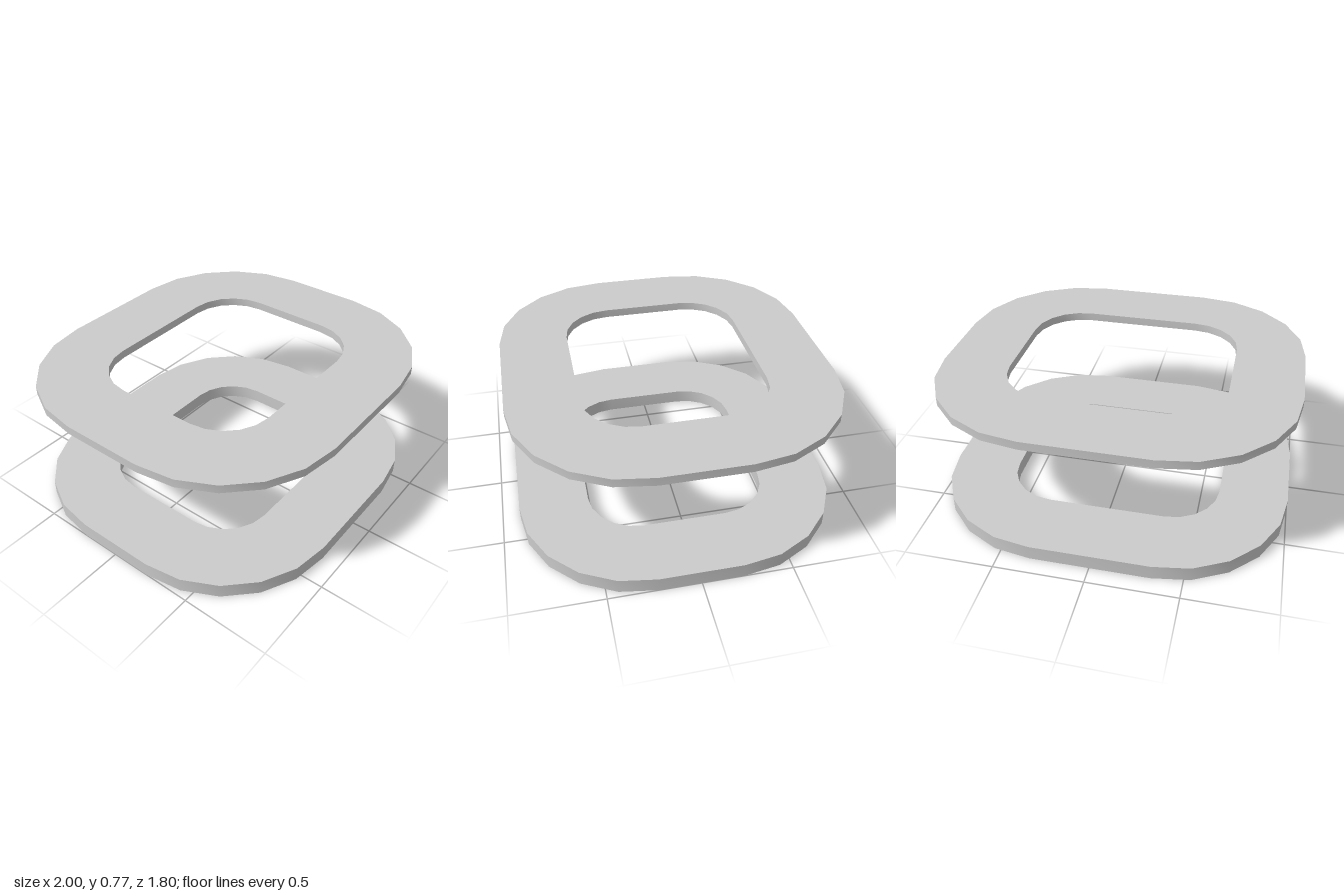
import * as THREE from 'three';
import { toCreasedNormals } from 'three/addons/utils/BufferGeometryUtils.js';

const CORNER_X = 0.33, CORNER_Z = 0.23, STEPS = 5;

// Rounded rectangle: four corner arcs of the given radius about shared centres
function outline(radius) {
  const points = [];
  for (let q = 0; q < 4; q++) {
    const sx = q === 0 || q === 3 ? 1 : -1;
    const sz = q < 2 ? 1 : -1;
    for (let i = 0; i <= STEPS; i++) {
      const a = (q + i / STEPS) * Math.PI / 2;
      points.push(new THREE.Vector2(
        sx * CORNER_X + radius * Math.cos(a),
        sz * CORNER_Z + radius * Math.sin(a)));
    }
  }
  return points;
}

// Flat plate with a concentric rounded opening, lying level from y = bottom to y = top
function ringPlate(name, bottom, top, material) {
  const shape = new THREE.Shape(outline(0.67));
  shape.holes.push(new THREE.Path(outline(0.28).reverse()));
  const geometry = new THREE.ExtrudeGeometry(shape, { depth: top - bottom, bevelEnabled: false });
  geometry.rotateX(-Math.PI / 2);
  geometry.translate(0, bottom, 0);
  const mesh = new THREE.Mesh(toCreasedNormals(geometry, 0.6), material);
  mesh.name = name;
  return mesh;
}

export function createModel() {
  const group = new THREE.Group();
  group.name = 'ringPlates';
  const material = new THREE.MeshStandardMaterial({ color: 0xcccccc });
  group.add(ringPlate('lowerRing', 0, 0.083, material));
  group.add(ringPlate('upperRing', 0.725, 0.772, material));
  return group;
}
